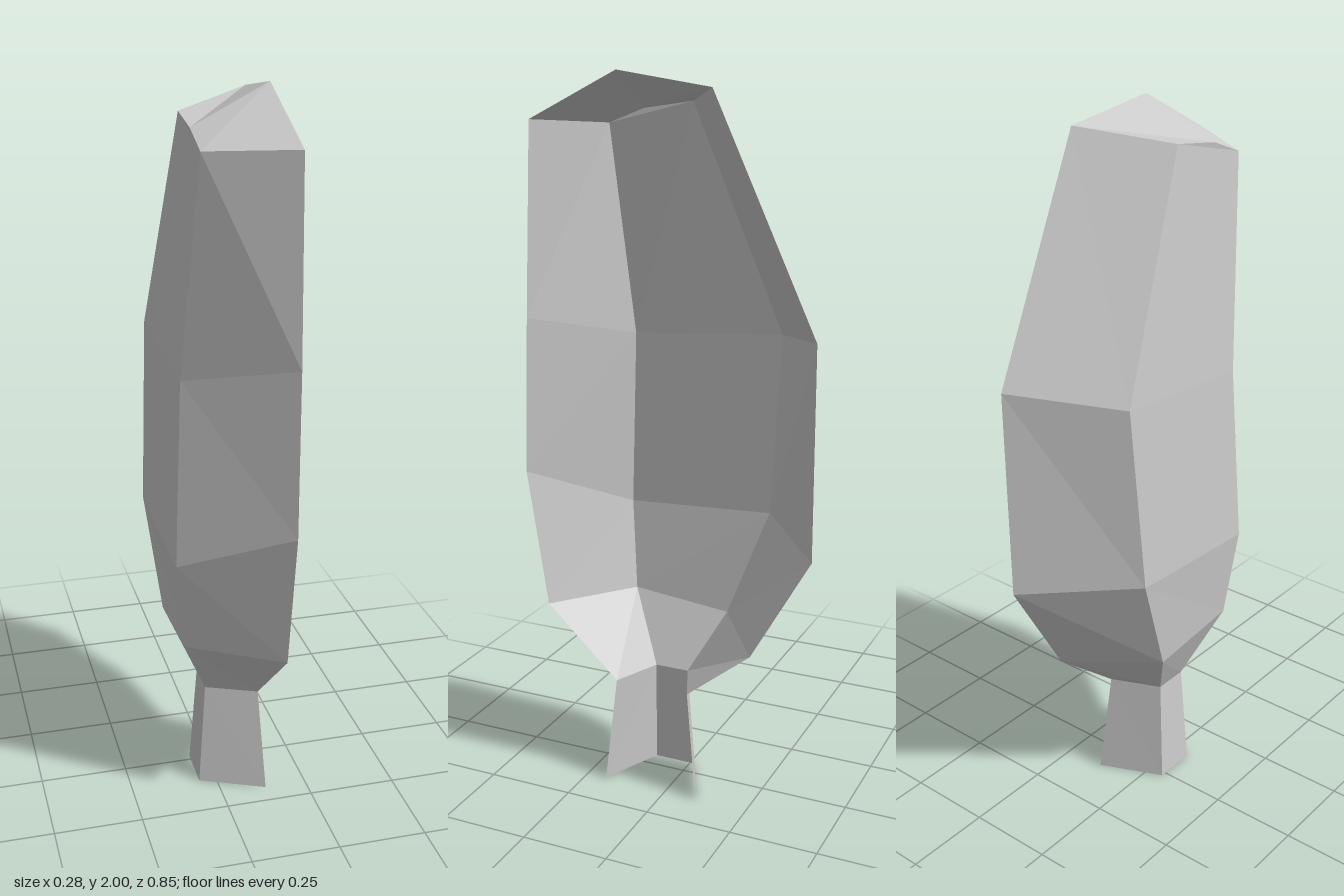
import * as THREE from 'three';

const material = new THREE.MeshStandardMaterial({
  color: 0xcccccc, flatShading: true, side: THREE.DoubleSide,
});

// Cross-sections from the ground up, each running
// front rim -> front crease -> back crease -> back rim as [x, y, z].
const sections = [
  [[0.13, 0, 0.19], [-0.05, 0, 0.11], [-0.05, 0, -0.015], [0.13, 0, -0.095]],
  [[0.11, 0.31, 0.16], [-0.03, 0.31, 0.1], [-0.03, 0.31, 0], [0.11, 0.31, -0.06]],
  [[0.13, 0.52, 0.365], [-0.11, 0.51, 0.2], [-0.11, 0.48, -0.09], [0.13, 0.47, -0.255]],
  [[0.13, 0.91, 0.425], [-0.14, 0.77, 0.225], [-0.14, 0.79, -0.205], [0.135, 0.77, -0.425]],
  [[0.135, 1.35, 0.405], [-0.12, 1.28, 0.2], [-0.12, 1.31, -0.24], [0.14, 1.35, -0.425]],
  [[0.135, 1.875, 0.38], [-0.08, 1.86, 0.255], [-0.075, 1.92, 0.005], [0.14, 1.96, -0.14]],
];

// Flat-faceted skin between consecutive rows of points
function skin(name, rows) {
  const positions = [];
  for (let r = 0; r < rows.length - 1; r++) {
    const low = rows[r], high = rows[r + 1];
    for (let i = 0; i < low.length - 1; i++) {
      const [a, b, c, d] = [low[i], low[i + 1], high[i + 1], high[i]];
      positions.push(...a, ...c, ...b, ...a, ...d, ...c);
    }
  }
  return facetMesh(name, positions);
}

function facetMesh(name, positions) {
  const geometry = new THREE.BufferGeometry();
  geometry.setAttribute('position', new THREE.Float32BufferAttribute(positions, 3));
  geometry.computeVertexNormals();
  const mesh = new THREE.Mesh(geometry, material);
  mesh.name = name;
  return mesh;
}

export function createModel() {
  const group = new THREE.Group();
  group.name = 'foldedLeafShell';

  // Narrow open channel at the foot, and the wide body above it
  group.add(skin('stem', sections.slice(0, 2)));
  group.add(skin('body', sections.slice(1)));

  // Sloping cap, peaked in the middle
  const [frontRim, frontCrease, backCrease, backRim] = sections[5];
  const peakRim = [0.125, 2, 0.13], peakCrease = [-0.08, 1.9, 0.15];
  group.add(skin('cap', [
    [frontCrease, peakCrease, backCrease],
    [frontRim, peakRim, backRim],
  ]));

  // Small gable closing the body up to the cap
  group.add(facetMesh('gable', [...frontCrease, ...peakCrease, ...backCrease]));

  return group;
}
